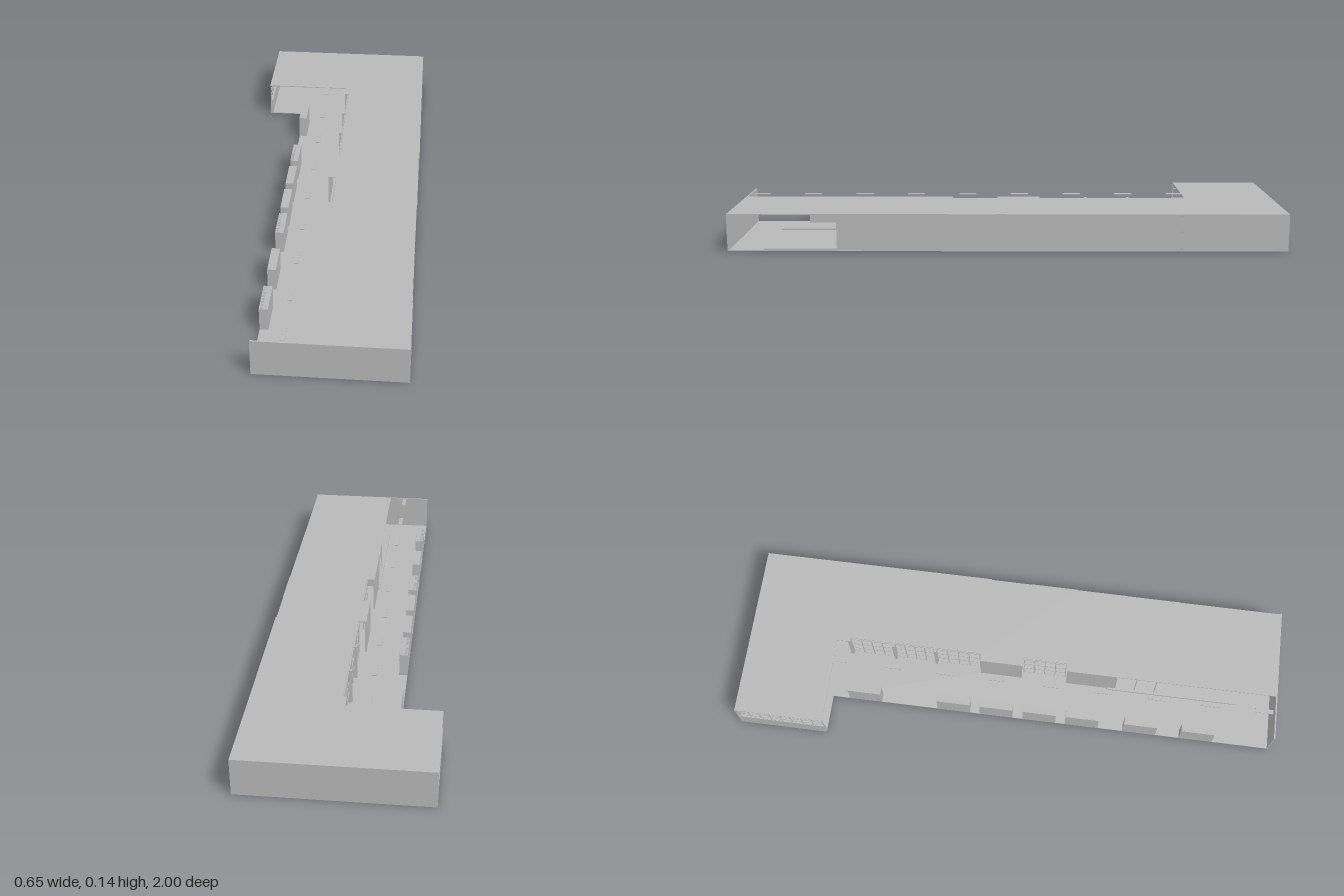
import * as THREE from 'three';

const H = 0.135, T = 0.005;

export function createModel() {
  const model = new THREE.Group();
  const grey = new THREE.MeshStandardMaterial({ color: 0xb8b8b8 });
  grey.name = 'plain grey';

  // Box given by its limits on each axis
  function block(name, x0, x1, y0, y1, z0, z1, parent = model) {
    const m = new THREE.Mesh(new THREE.BoxGeometry(x1 - x0, y1 - y0, z1 - z0), grey);
    m.position.set((x0 + x1) / 2, (y0 + y1) / 2, (z0 + z1) / 2);
    m.name = name;
    parent.add(m);
    return m;
  }

  // Flat slab from a plan outline of [x, z] points
  function slab(name, outline, y, thickness) {
    const shape = new THREE.Shape(outline.map(([x, z]) => new THREE.Vector2(x, -z)));
    const geo = new THREE.ExtrudeGeometry(shape, { depth: thickness, bevelEnabled: false });
    geo.rotateX(-Math.PI / 2);
    const m = new THREE.Mesh(geo, grey);
    m.position.y = y;
    m.name = name;
    model.add(m);
  }

  // Open window grid in a plane of constant x
  function windowGrid(name, x, y0, y1, z0, z1, columns, rows) {
    const g = new THREE.Group();
    g.name = name;
    const w = 0.0015;
    for (let i = 0; i <= columns; i++) {
      const z = z0 + (z1 - z0) * i / columns;
      block('mullion', x - w, x + w, y0, y1, z - w, z + w, g);
    }
    for (let i = 0; i <= rows; i++) {
      const y = y0 + (y1 - y0) * i / rows;
      block('transom', x - w, x + w, y - w, y + w, z0, z1, g);
    }
    model.add(g);
  }

  // Floor and roof
  slab('floor', [[-0.325, -1], [0.325, -1], [0.32, 1], [-0.18, 1], [-0.18, -0.67], [-0.325, -0.67]], 0, 0.003);
  slab('roof', [
    [-0.325, -1], [0.325, -1], [0.325, -0.12], [0.319, -0.12], [0.319, 0.04], [0.323, 0.04],
    [0.323, 0.21], [0.319, 0.21], [0.319, 1], [-0.015, 1], [-0.015, 0.21], [0.015, 0.21],
    [0.015, 0.04], [-0.015, 0.04], [-0.015, -0.12], [0.015, -0.12], [0.015, -0.29], [0.005, -0.29],
    [0.005, -0.3], [0.015, -0.3], [0.015, -0.45], [0.005, -0.45], [0.005, -0.46], [0.015, -0.46],
    [0.015, -0.62], [0, -0.62], [0, -0.67], [-0.325, -0.67],
  ], H - 0.003, 0.003);

  // Outer walls
  block('backWall', -0.325, 0.325, 0, H, -1, -1 + T);
  block('frontWall', -0.18, 0.322, 0, H, 1 - T, 1);
  for (const [z0, z1, x] of [[-1, -0.62, 0.325], [-0.62, -0.12, 0.324], [-0.12, 0.21, 0.322], [0.21, 0.4, 0.321], [0.4, 0.61, 0.32]]) {
    block('sideWall', x - T, x, 0, H, z0, z1);
  }
  block('windowSill', -0.325, -0.315, 0, 0.065, -1, -0.67);
  windowGrid('wingWindow', -0.322, 0.065, H - 0.003, -0.99, -0.672, 8, 3);

  // Inner wall along the terrace, solid and glazed bays
  block('innerWall', -0.015, -0.01, 0, H, -0.12, 0.04);
  block('innerWall', -0.015, -0.01, 0, H, 0.21, 0.4);
  for (const [z0, z1] of [[-0.62, -0.46], [-0.45, -0.3], [-0.29, -0.125], [0.045, 0.205]]) {
    windowGrid('terraceWindow', 0.012, 0.003, H - 0.003, z0, z1, 4, 3);
  }
  for (const z of [-0.625, -0.455, -0.295]) {
    block('pier', 0, 0.015, 0, H, z - 0.005, z + 0.005);
  }
  windowGrid('terraceDoor', -0.012, 0.003, H - 0.003, 0.4, 0.55, 2, 1);
  block('partition', -0.01, 0.2, 0, H - 0.003, 0.397, 0.402);

  // Door tracks
  block('terraceDoorTrack', -0.022, -0.012, 0, 0.01, 0.37, 0.87);
  block('sideDoorTrack', 0.31, 0.322, 0, 0.01, 0.61, 0.87);

  // Free-standing screens along the terrace edge
  const screenEnds = [0.785, 0.57, 0.35, 0.188, 0.023, -0.14, -0.48];
  const arched = [0.785, 0.35, -0.14];
  for (const end of screenEnds) {
    const screen = new THREE.Group();
    screen.name = 'terraceScreen';
    const start = end - 0.125;
    block('screenBody', -0.18, -0.15, 0, 0.088, start, end, screen);
    if (arched.includes(end)) {
      // Fine slats filling the corners above an arch
      for (let i = 0; i < 16; i++) {
        const z = start + 0.125 * (i + 0.5) / 16;
        const u = (i - 7.5) / 8;
        const low = 0.05 + 0.035 * Math.sqrt(1 - u * u);
        block('archSlat', -0.15, -0.149, low, 0.088, z - 0.0015, z + 0.0015, screen);
        block('topSlat', -0.178, -0.168, 0.088, 0.0895, z - 0.0015, z + 0.0015, screen);
      }
    }
    model.add(screen);
  }

  // Row of ceiling lights over the terrace
  for (let i = 0; i < 9; i++) {
    const z = -0.645 + i * 0.2;
    block('ceilingLight', -0.086, -0.07, H - 0.003, H, z - 0.033, z + 0.033);
  }
  return model;
}
